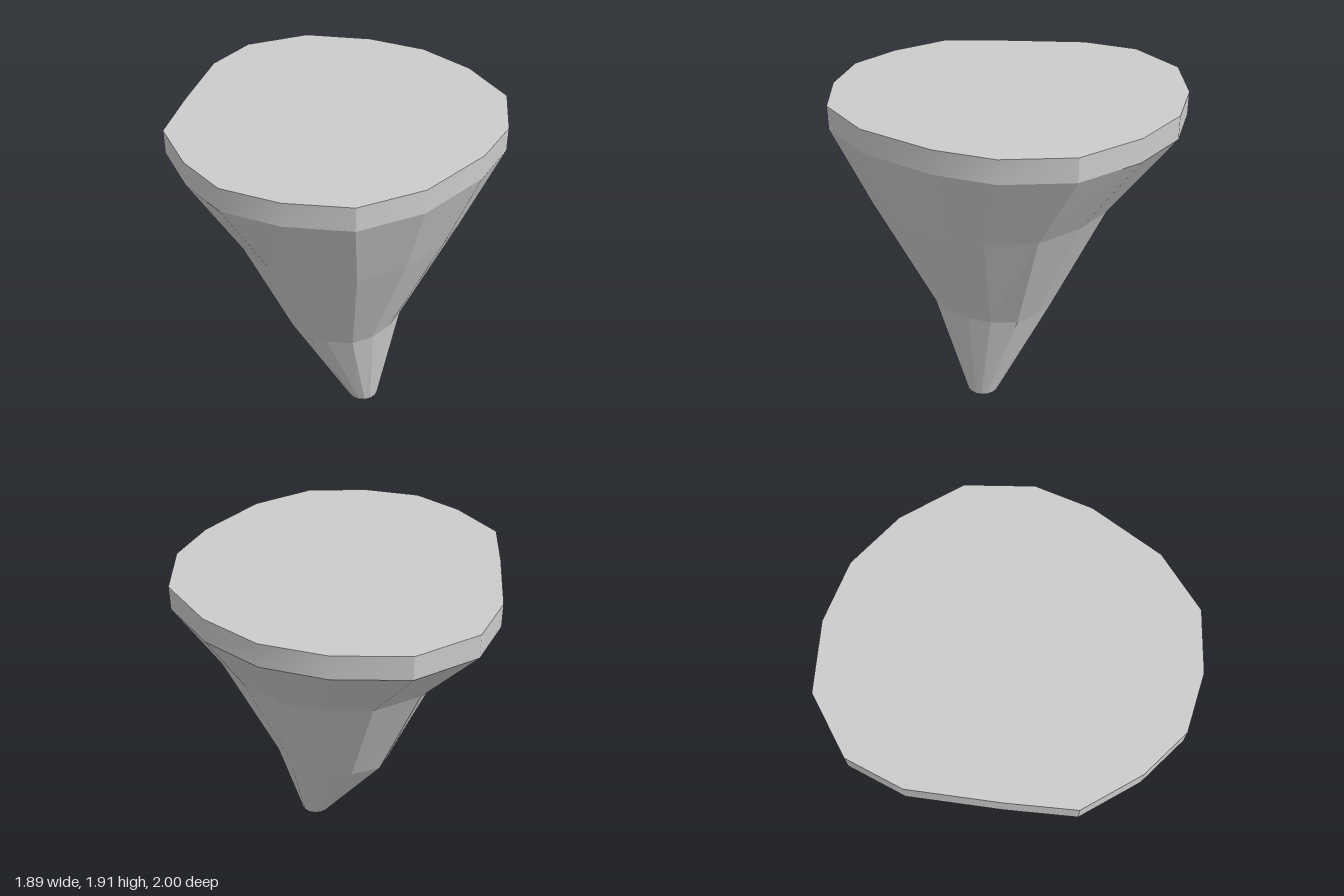
import * as THREE from 'three';
import { toCreasedNormals } from 'three/addons/utils/BufferGeometryUtils.js';

// Cross-sections as 16 [x, z] corners, running back, right, front, left
const rimRing = [
  [-0.03, -1], [0.34, -0.93], [0.7, -0.74], [0.9, -0.4], [0.945, -0.06], [0.89, 0.4], [0.71, 0.74], [0.4, 0.92],
  [0.07, 1], [-0.24, 0.92], [-0.565, 0.74], [-0.73, 0.4], [-0.93, -0.06], [-0.95, -0.4], [-0.75, -0.74], [-0.39, -0.93],
];
const upperRing = [
  [0.09, -0.66], [0.34, -0.61], [0.59, -0.48], [0.74, -0.23], [0.77, -0.02], [0.73, 0.3], [0.6, 0.565], [0.38, 0.69],
  [0.145, 0.74], [-0.08, 0.69], [-0.3, 0.565], [-0.46, 0.3], [-0.56, -0.02], [-0.565, -0.23], [-0.4, -0.48], [-0.16, -0.61],
];
const lowerRing = [
  [0.12, -0.34], [0.26, -0.31], [0.38, -0.25], [0.45, -0.11], [0.47, 0.03], [0.45, 0.18], [0.39, 0.3], [0.26, 0.38],
  [0.145, 0.41], [0, 0.38], [-0.115, 0.3], [-0.2, 0.18], [-0.25, 0.03], [-0.26, -0.11], [-0.14, -0.25], [-0.01, -0.31],
];
const tipRing = rimRing.map((_, i) => {
  const a = (i / 16) * Math.PI * 2;
  return [0.29 + 0.093 * Math.sin(a), 0.037 - 0.095 * Math.cos(a)];
});

// Skin a stack of { y, ring } levels, optionally closing either end
function loft(levels, capBottom, capTop) {
  const pos = [];
  const point = ({ y, ring }, i) => [ring[i % 16][0], y, ring[i % 16][1]];
  const centre = ({ y, ring }) => [
    ring.reduce((s, p) => s + p[0], 0) / 16, y, ring.reduce((s, p) => s + p[1], 0) / 16,
  ];
  const tri = (a, b, c) => pos.push(...a, ...b, ...c);
  const first = levels[0];
  const last = levels[levels.length - 1];
  for (let i = 0; i < 16; i++) {
    for (let k = 0; k < levels.length - 1; k++) {
      const a = point(levels[k], i + 1), b = point(levels[k], i);
      const c = point(levels[k + 1], i), d = point(levels[k + 1], i + 1);
      tri(a, b, c);
      tri(a, c, d);
    }
    if (capBottom) tri(centre(first), point(first, i), point(first, i + 1));
    if (capTop) tri(centre(last), point(last, i + 1), point(last, i));
  }
  const geometry = new THREE.BufferGeometry();
  geometry.setAttribute('position', new THREE.Float32BufferAttribute(pos, 3));
  geometry.computeVertexNormals();
  return geometry;
}

export function createModel() {
  const group = new THREE.Group();
  const add = (name, geometry, flatShading) => {
    const material = new THREE.MeshStandardMaterial({ color: 0xcccccc, flatShading });
    const mesh = new THREE.Mesh(geometry, material);
    mesh.name = name;
    group.add(mesh);
  };

  // Faceted body tapering down to an off-centre tip
  add('taperedBody', loft([
    { y: 0, ring: tipRing },
    { y: 0.62, ring: lowerRing },
    { y: 1.32, ring: upperRing },
    { y: 1.78, ring: rimRing },
  ], true, false), true);

  // Upright band with the flat top, softened across its shallow corners
  const rim = loft([{ y: 1.78, ring: rimRing }, { y: 1.915, ring: rimRing }], false, true);
  add('topSlab', toCreasedNormals(rim, Math.PI / 6), false);
  return group;
}
